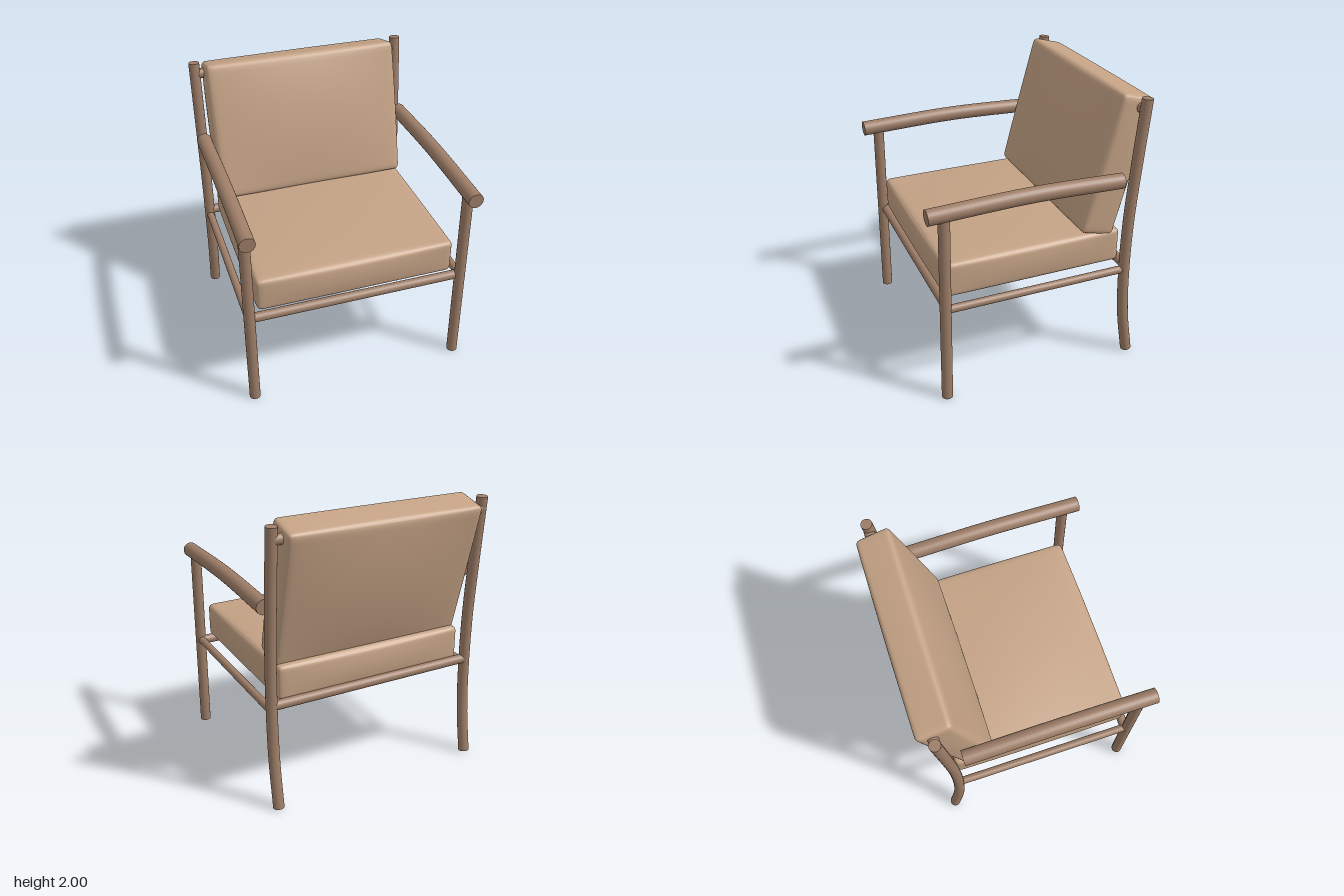
import * as THREE from 'three';
import { mergeVertices } from 'three/addons/utils/BufferGeometryUtils.js';

const wood = new THREE.MeshStandardMaterial({ name: 'wood', color: 0x9d7d67 });
const fabric = new THREE.MeshStandardMaterial({ name: 'fabric', color: 0xc4a285 });

// Capped round rod following a smooth path of [y, z] points at a fixed x
function rod(x, points, radius, steps = 1) {
  const curve = new THREE.CatmullRomCurve3(points.map(([y, z]) => new THREE.Vector3(0, y, z)));
  const geo = new THREE.CylinderGeometry(radius, radius, 1, 28, steps);
  const pos = geo.attributes.position, nor = geo.attributes.normal;
  for (let i = 0; i < pos.count; i++) {
    const t = THREE.MathUtils.clamp(pos.getY(i) + 0.5, 0, 1);
    const p = curve.getPointAt(t), tan = curve.getTangentAt(t);
    const side = new THREE.Vector3(1, 0, 0).cross(tan);
    const n = tan.clone().multiplyScalar(nor.getY(i)).addScaledVector(side, nor.getZ(i));
    p.addScaledVector(side, pos.getZ(i));
    nor.setXYZ(i, nor.getX(i), n.y, n.z);
    pos.setXYZ(i, x + pos.getX(i), p.y, p.z);
  }
  return geo;
}

// Straight rail running across the chair
function crossRail(y, z, radius, length) {
  return new THREE.CylinderGeometry(radius, radius, length, 28).rotateZ(Math.PI / 2).translate(0, y, z);
}

// Soft box: rounded edges, with each pair of faces swelling by its own amount
function cushion(size, radius, swell) {
  const geo = new THREE.BoxGeometry(2, 2, 2, 24, 24, 24);
  geo.deleteAttribute('uv');
  geo.deleteAttribute('normal');
  const half = new THREE.Vector3(...size).multiplyScalar(0.5);
  const inner = half.clone().subScalar(radius);
  const pos = geo.attributes.position, u = new THREE.Vector3();
  for (let i = 0; i < pos.count; i++) {
    u.fromBufferAttribute(pos, i);
    // Crowd the grid towards the edges, where the rounding is
    u.set(Math.sin(u.x * Math.PI / 2), Math.sin(u.y * Math.PI / 2), Math.sin(u.z * Math.PI / 2));
    const p = u.clone().multiply(half);
    const core = p.clone().clamp(inner.clone().negate(), inner);
    p.sub(core).setLength(radius).add(core);
    const fx = 1 - u.x * u.x, fy = 1 - u.y * u.y, fz = 1 - u.z * u.z;
    p.x += u.x * swell[0] * fy * fz;
    p.y += u.y * swell[1] * fx * fz;
    p.z += u.z * swell[2] * fx * fy;
    pos.setXYZ(i, p.x, p.y, p.z);
  }
  const smooth = mergeVertices(geo, 1e-5);
  smooth.computeVertexNormals();
  return smooth;
}

export function createModel() {
  const chair = new THREE.Group();
  chair.name = 'armchair';
  const add = (name, geometry, material) => {
    const mesh = new THREE.Mesh(geometry, material);
    mesh.name = name;
    chair.add(mesh);
    return mesh;
  };

  // Frame sides
  for (const [side, s] of [['left', 1], ['right', -1]]) {
    const x = 0.778 * s;
    add(side + 'FrontLeg', rod(x, [[0.005, 0.72], [0.7, 0.71], [1.43, 0.7]], 0.039), wood);
    add(side + 'RearLeg', rod(x, [
      [0.012, -0.694], [0.35, -0.643], [0.7, -0.625], [1.1, -0.63], [1.5, -0.658], [1.985, -0.7],
    ], 0.039, 32), wood);
    add(side + 'Armrest', rod(x, [[1.425, 0.815], [1.445, 0.1], [1.425, -0.555]], 0.054, 20), wood);
    add(side + 'SideRail', rod(x, [[0.72, 0.71], [0.72, -0.625]], 0.028), wood);
  }

  // Cross rails
  add('frontRail', crossRail(0.718, 0.69, 0.034, 1.54), wood);
  add('rearRail', crossRail(0.755, -0.625, 0.034, 1.54), wood);
  add('topRail', crossRail(1.9, -0.698, 0.036, 1.54), wood);

  // Cushions
  add('seatCushion', cushion([1.425, 0.255, 1.3], 0.035, [0.014, 0.036, 0.018]), fabric)
    .position.set(0, 0.885, 0.04);
  const back = add('backCushion', cushion([1.425, 1.01, 0.25], 0.035, [0.014, 0.006, 0.042]), fabric);
  back.position.set(0, 1.488, -0.56);
  back.rotation.x = -0.262;

  return chair;
}
